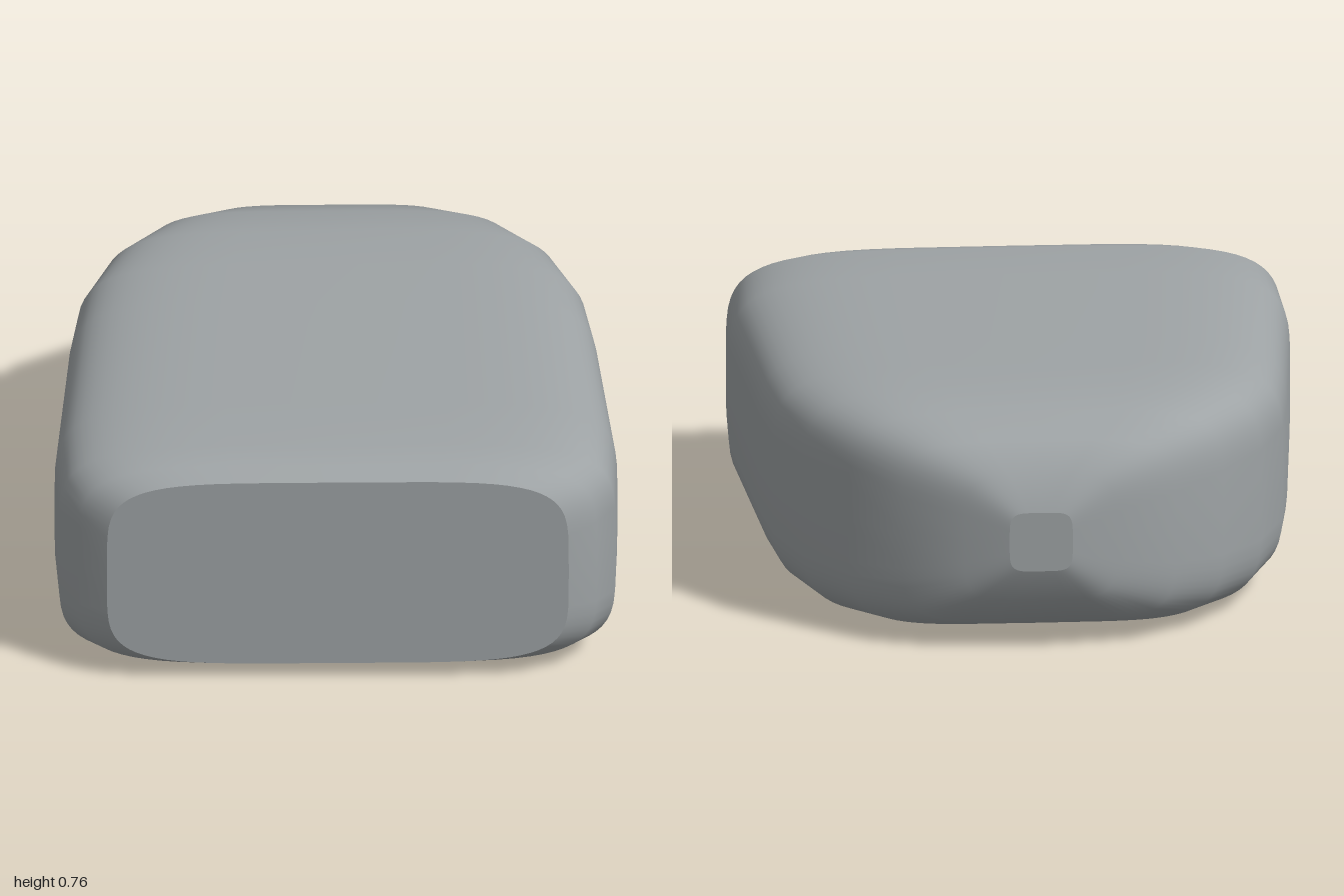
import * as THREE from 'three';

const SEGMENTS = 64;
const POWER = 5; // squareness of the rounded-rectangle sections
const CENTRE_Y = 0.38;

// Cross-sections from front to back: z, half width, half height
const SECTIONS = [
  [1.0, 0.73, 0.325],
  [0.94, 0.82, 0.356],
  [0.85, 0.88, 0.379],
  [0.58, 0.89, 0.38],
  [-0.1, 0.838, 0.38],
  [-0.34, 0.808, 0.38],
  [-0.56, 0.726, 0.378],
  [-0.74, 0.595, 0.352],
  [-0.88, 0.435, 0.298],
  [-0.96, 0.24, 0.205],
  [-1.0, 0.1, 0.097],
];

// Superellipse outline, counter-clockwise seen from the front
function outline(halfWidth, halfHeight) {
  const bend = (v) => Math.sign(v) * Math.pow(Math.abs(v), 2 / POWER);
  return Array.from({ length: SEGMENTS }, (_, j) => {
    const t = (j / SEGMENTS) * Math.PI * 2;
    return new THREE.Vector2(halfWidth * bend(Math.cos(t)), halfHeight * bend(Math.sin(t)));
  });
}

// Smooth skin joining the cross-sections
function shellGeometry() {
  const positions = [];
  const indices = [];
  SECTIONS.forEach(([z, w, h], i) => {
    outline(w, h).forEach((p, j) => {
      positions.push(p.x, p.y, z);
      if (i === SECTIONS.length - 1) return;
      const a = i * SEGMENTS + j;
      const b = i * SEGMENTS + ((j + 1) % SEGMENTS);
      indices.push(a, a + SEGMENTS, b, b, a + SEGMENTS, b + SEGMENTS);
    });
  });
  const geometry = new THREE.BufferGeometry();
  geometry.setAttribute('position', new THREE.Float32BufferAttribute(positions, 3));
  geometry.setIndex(indices);
  geometry.computeVertexNormals();
  return geometry;
}

export function createModel() {
  const model = new THREE.Group();
  model.name = 'roundedBlock';
  const grey = new THREE.MeshStandardMaterial({ color: 0x9ea3a5 });
  grey.name = 'grey';

  const add = (name, geometry) => {
    const mesh = new THREE.Mesh(geometry, grey);
    mesh.name = name;
    mesh.position.y = CENTRE_Y;
    model.add(mesh);
    return mesh;
  };

  add('shell', shellGeometry());

  // Flat end faces
  const cap = (name, [z, w, h], turn) => {
    const mesh = add(name, new THREE.ShapeGeometry(new THREE.Shape(outline(w, h))));
    mesh.position.z = z;
    mesh.rotation.y = turn;
  };
  cap('frontFace', SECTIONS[0], 0);
  cap('backFace', SECTIONS[SECTIONS.length - 1], Math.PI);

  return model;
}
